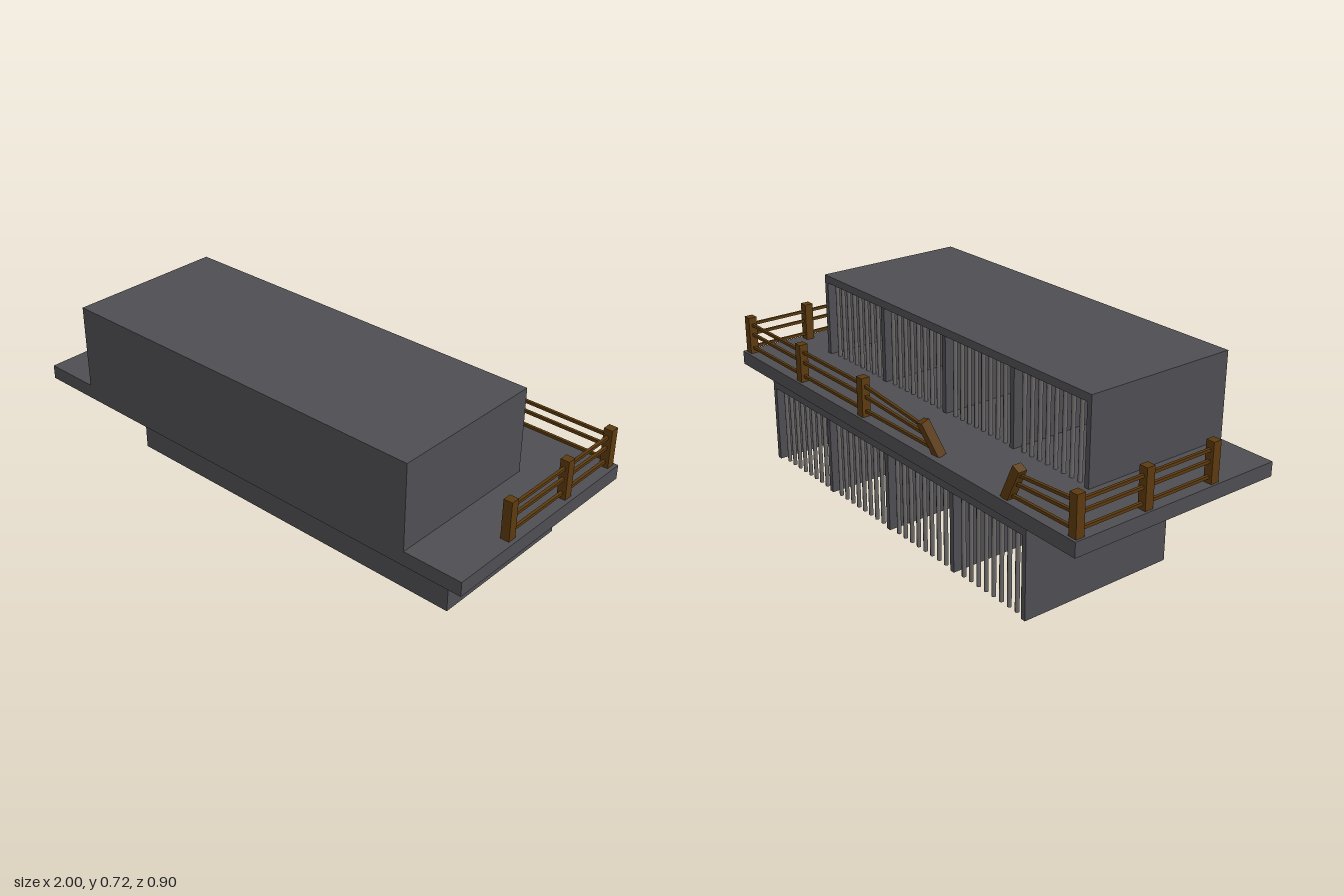
import * as THREE from 'three';

const wall = new THREE.MeshStandardMaterial({ color: 0x4e4d52 });
wall.name = 'concrete grey';
const metal = new THREE.MeshStandardMaterial({ color: 0x6c6a69 });
metal.name = 'bar grey';
const wood = new THREE.MeshStandardMaterial({ color: 0x5c3a0e });
wood.name = 'brown wood';

// Box given by its lower and upper limits on each axis
function box(parent, name, material, [x0, x1], [y0, y1], [z0, z1]) {
  const mesh = new THREE.Mesh(new THREE.BoxGeometry(x1 - x0, y1 - y0, z1 - z0), material);
  mesh.position.set((x0 + x1) / 2, (y0 + y1) / 2, (z0 + z1) / 2);
  mesh.name = name;
  parent.add(mesh);
}

// Square beam running between two points
function beam(parent, name, a, b, width) {
  const dir = b.clone().sub(a);
  const mesh = new THREE.Mesh(new THREE.BoxGeometry(width, dir.length(), width), wood);
  mesh.position.copy(a).add(b).multiplyScalar(0.5);
  mesh.quaternion.setFromUnitVectors(new THREE.Vector3(0, 1, 0), dir.normalize());
  mesh.name = name;
  parent.add(mesh);
}

// One storey: four cells open at the back, closed by vertical bars
function cellBlock(name, y0, y1, zBack, zFront) {
  const block = new THREE.Group();
  block.name = name;
  const half = 0.772, t = 0.02, roof = 0.03, top = y1 - roof;
  box(block, 'ceiling', wall, [-half, half], [top, y1], [zBack, zFront]);
  box(block, 'frontWall', wall, [-half, half], [y0, top], [zFront - t, zFront]);
  const pitch = (2 * half - t) / 4;
  for (let i = 0; i <= 4; i++) {
    const x = -half + i * pitch;
    box(block, i % 4 ? 'partition' : 'endWall', wall, [x, x + t], [y0, top],
      [zBack + (i % 4 ? 0.005 : 0), zFront - t]);
  }
  // Cell bars
  const barGeometry = new THREE.CylinderGeometry(0.008, 0.008, top - y0, 8);
  const count = 8;
  for (let i = 0; i < 4; i++) {
    for (let j = 1; j <= count; j++) {
      const bar = new THREE.Mesh(barGeometry, metal);
      const x = -half + i * pitch + t + (pitch - t) * j / (count + 1);
      bar.position.set(x, (y0 + top) / 2, zBack + 0.018);
      bar.name = 'cellBar';
      block.add(bar);
    }
  }
  return block;
}

// Fence posts joined by three rails; each post has a base and a top
function fence(name, posts) {
  const group = new THREE.Group();
  group.name = name;
  posts.forEach(([base, top], i) => {
    beam(group, 'fencePost', base, top, 0.034);
    if (i === 0) return;
    const [prevBase, prevTop] = posts[i - 1];
    for (const f of [0.15, 0.52, 0.79]) {
      beam(group, 'fenceRail', prevBase.clone().lerp(prevTop, f), base.clone().lerp(top, f), 0.011);
    }
  });
  return group;
}

const DECK = 0.39;
const upright = (x, z) => [new THREE.Vector3(x, DECK, z), new THREE.Vector3(x, 0.54, z)];
const leaning = (x0, z0, x1, z1) =>
  [new THREE.Vector3(x0, DECK - 0.003, z0), new THREE.Vector3(x1, 0.515, z1)];

export function createModel() {
  const model = new THREE.Group();
  model.name = 'cellBuilding';

  // Storeys and the walkway slab between them
  model.add(cellBlock('lowerCells', 0, 0.335, -0.428, 0.2));
  box(model, 'walkway', wall, [-1, 1], [0.335, DECK], [-0.432, 0.45]);
  model.add(cellBlock('upperCells', DECK, 0.718, -0.17, 0.45));

  // Railing, broken open on the back edge with a leaning post at each side
  model.add(fence('leftFence', [
    upright(0.968, 0.17), upright(0.968, -0.145), upright(0.968, -0.405),
    upright(0.58, -0.405), upright(0.16, -0.405),
    leaning(-0.272, -0.388, -0.238, -0.432),
  ]));
  model.add(fence('rightFence', [
    upright(-0.974, 0.178), upright(-0.974, -0.118), upright(-0.974, -0.405),
    leaning(-0.65, -0.405, -0.71, -0.405),
  ]));
  return model;
}
